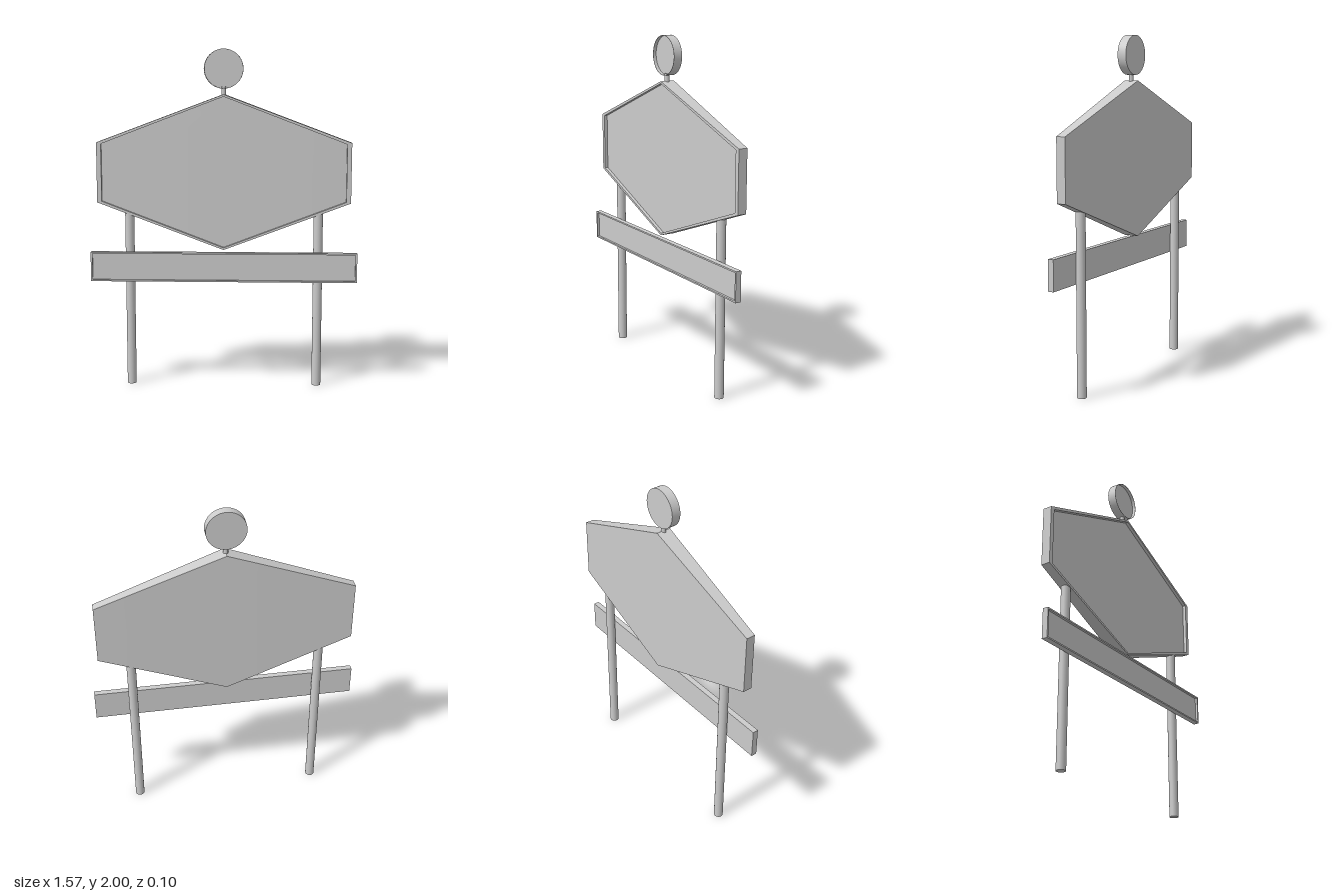
import * as THREE from 'three';
import { toCreasedNormals } from 'three/addons/utils/BufferGeometryUtils.js';

const material = new THREE.MeshStandardMaterial({ color: 0xcccccc });

function addMesh(group, name, geometry, x = 0, y = 0, z = 0) {
  const mesh = new THREE.Mesh(geometry, material);
  mesh.name = name;
  mesh.position.set(x, y, z);
  group.add(mesh);
}

// Convex plate with a raised rim around a recessed front face.
// Outlines run counter-clockwise; back and front give z as a function of x.
function trayGeometry(outer, inner, back, front, depth) {
  const ring = (outline, zAt) => outline.map(([x, y]) => [x, y, zAt(x)]);
  const rings = [
    ring(outer, back),
    ring(outer, front),
    ring(inner, front),
    ring(inner, (x) => front(x) - depth),
  ];
  const positions = [];
  const triangle = (a, b, c) => positions.push(...a, ...b, ...c);
  const n = outer.length;
  for (let r = 0; r < 3; r++) {
    for (let i = 0; i < n; i++) {
      const j = (i + 1) % n;
      const [a, b] = [rings[r], rings[r + 1]];
      triangle(a[i], a[j], b[j]);
      triangle(a[i], b[j], b[i]);
    }
  }
  // Back and recessed front faces
  for (let i = 1; i < n - 1; i++) {
    triangle(rings[3][0], rings[3][i], rings[3][i + 1]);
    triangle(rings[0][0], rings[0][i + 1], rings[0][i]);
  }
  const geometry = new THREE.BufferGeometry();
  geometry.setAttribute('position', new THREE.Float32BufferAttribute(positions, 3));
  return toCreasedNormals(geometry, 0.3);
}

const rectangle = (x, y0, y1) => [[x, y1], [-x, y1], [-x, y0], [x, y0]];

// Starts at the top point so that the faces fold along the centre line
const hexagon = (x, top, shoulder, hip, bottom) => [
  [0, top], [-x, shoulder], [-x, hip], [0, bottom], [x, hip], [x, shoulder],
];

const circle = (radius, sides) => Array.from({ length: sides }, (_, i) => {
  const a = (i / sides) * Math.PI * 2;
  return [radius * Math.cos(a), radius * Math.sin(a)];
});

export function createModel() {
  const group = new THREE.Group();
  group.name = 'signboard';

  // Main hexagonal panel, slightly thicker towards its centre line
  const halfWidth = 0.745;
  const swell = (x) => 1 - Math.abs(x) / halfWidth;
  addMesh(group, 'hexagonPanel', trayGeometry(
    hexagon(halfWidth, 1.74, 1.46, 1.107, 0.83),
    hexagon(0.718, 1.727, 1.452, 1.114, 0.843),
    (x) => -0.036 - 0.016 * swell(x),
    (x) => 0.018 + 0.018 * swell(x),
    0.02,
  ));

  // Long lower board in front of the posts
  addMesh(group, 'lowerBoard', trayGeometry(
    rectangle(0.785, 0.64, 0.815),
    rectangle(0.775, 0.649, 0.806),
    () => 0.018,
    () => 0.052,
    0.014,
  ));

  // Round topper with a thin rim, on a short stem
  addMesh(group, 'roundTopper', trayGeometry(
    circle(0.114, 40),
    circle(0.112, 40),
    () => -0.036,
    () => 0.018,
    0.02,
  ), 0, 1.886, 0);
  addMesh(group, 'topperStem', new THREE.CylinderGeometry(0.014, 0.014, 0.07, 16), 0, 1.748, -0.007);

  // Two posts
  for (const [side, name] of [[1, 'leftPost'], [-1, 'rightPost']]) {
    addMesh(group, name, new THREE.CylinderGeometry(0.027, 0.027, 1.045, 24), side * 0.557, 0.5225, -0.009);
  }

  return group;
}
